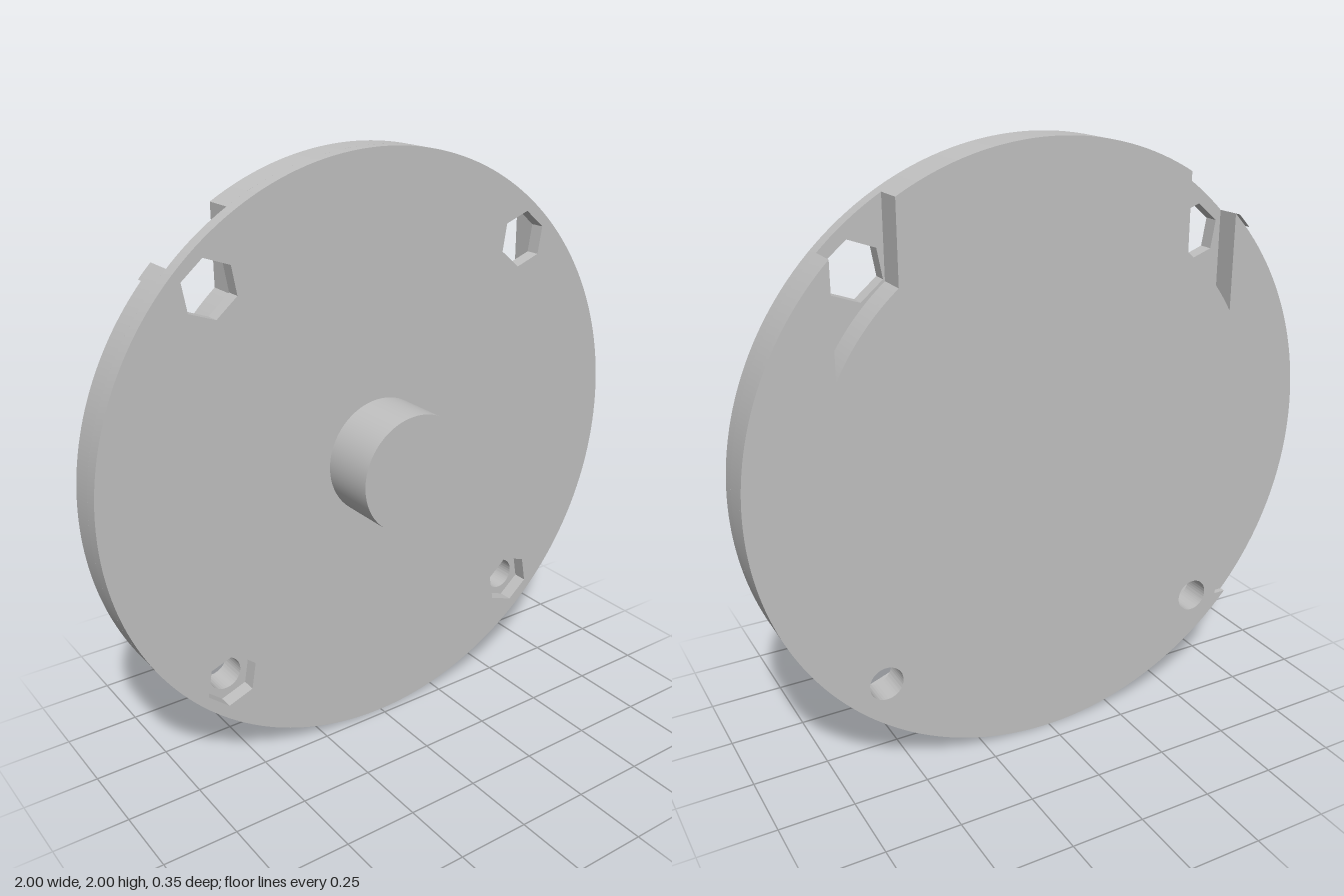
import * as THREE from 'three';
import { toCreasedNormals } from 'three/addons/utils/BufferGeometryUtils.js';

const HOLE_X = 0.594, HOLE_Y = 0.65; // bolt positions from the disc centre
const SLOT_IN = 0.5, SLOT_OUT = 0.7, SLOT_R = 0.79; // rear slots: sides and curved floor
const STEP_Y = 0.67; // half height of the shallow rear step

// Six-sided hole, turned by a given angle
function hexHole(x, y, degrees) {
  const points = [];
  for (let i = 0; i < 6; i++) {
    const a = THREE.MathUtils.degToRad(degrees + i * 60);
    points.push(new THREE.Vector2(x + 0.094 * Math.cos(a), y + 0.094 * Math.sin(a)));
  }
  return new THREE.Path(points);
}

function roundHole(x, y) {
  return new THREE.Path().absarc(x, y, 0.057, 0, Math.PI * 2);
}

// Disc outline with two slots open to the rim, optionally cut back along one side
function slottedOutline(stepped) {
  const rim = (x) => Math.acos(x);
  const floor = (x) => Math.acos(x / SLOT_R);
  const s = new THREE.Shape();
  s.absarc(0, 0, 1, rim(SLOT_IN), Math.PI - rim(SLOT_IN));
  s.absarc(0, 0, SLOT_R, Math.PI - floor(SLOT_IN), Math.PI - floor(SLOT_OUT));
  let start = Math.PI - rim(SLOT_OUT);
  if (stepped) {
    s.lineTo(-SLOT_OUT, -STEP_Y);
    start = Math.PI + Math.asin(STEP_Y);
  }
  s.absarc(0, 0, 1, start, Math.PI * 2 + rim(SLOT_OUT));
  s.absarc(0, 0, SLOT_R, floor(SLOT_OUT), floor(SLOT_IN));
  for (const side of [-1, 1]) s.holes.push(roundHole(side * HOLE_X, -HOLE_Y));
  return s;
}

export function createModel() {
  const model = new THREE.Group();
  const grey = new THREE.MeshStandardMaterial({ color: 0xc0c0c0 });
  grey.name = 'light grey';

  function layer(name, shape, zBack, zFront) {
    const geometry = new THREE.ExtrudeGeometry(shape, {
      depth: zFront - zBack, bevelEnabled: false, curveSegments: 96,
    });
    const mesh = new THREE.Mesh(toCreasedNormals(geometry, 0.4), grey);
    mesh.name = name;
    mesh.position.set(0, 1, zBack);
    model.add(mesh);
  }

  // Front of the disc, with a hexagonal opening at each bolt
  const front = new THREE.Shape().absarc(0, 0, 1, 0, Math.PI * 2);
  for (const sx of [-1, 1]) {
    for (const sy of [-1, 1]) {
      front.holes.push(hexHole(sx * HOLE_X, sy * HOLE_Y, sx * sy > 0 ? 20 : 40));
    }
  }
  layer('frontDisc', front, -0.075, -0.025);

  // Slotted body and thin stepped back
  layer('slottedDisc', slottedOutline(false), -0.155, -0.075);
  layer('steppedBack', slottedOutline(true), -0.175, -0.155);

  // Small rim remnant above the step
  const tip = new THREE.Shape();
  tip.moveTo(-SLOT_OUT, STEP_Y);
  tip.absarc(0, 0, 1, Math.acos(-SLOT_OUT), Math.PI - Math.asin(STEP_Y));
  tip.closePath();
  layer('stepTip', tip, -0.175, -0.155);

  // Central boss
  const boss = new THREE.Mesh(new THREE.CylinderGeometry(0.2, 0.2, 0.2, 64), grey);
  boss.name = 'centreBoss';
  boss.rotation.x = Math.PI / 2;
  boss.position.set(0, 1, 0.075);
  model.add(boss);

  return model;
}
